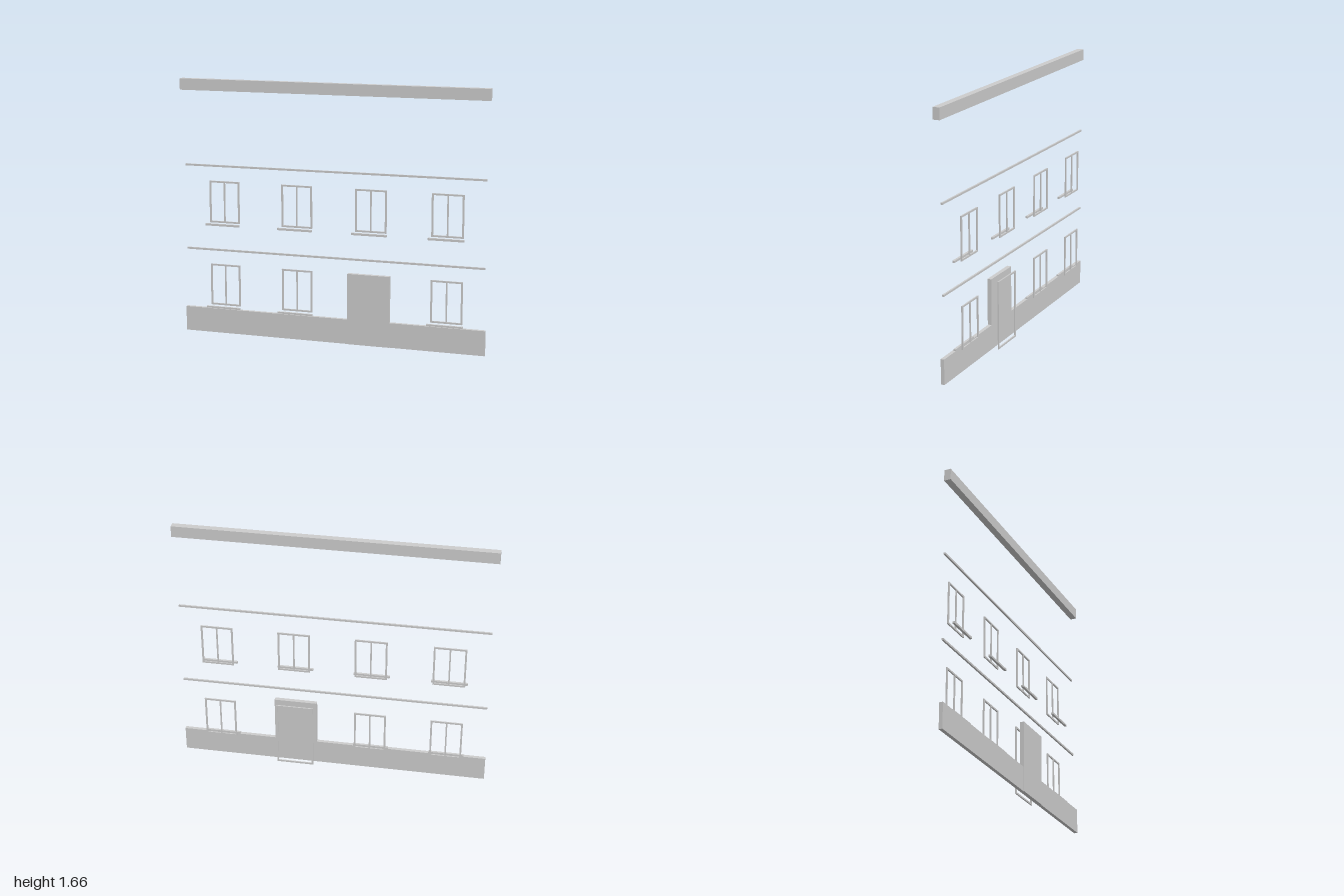
import * as THREE from 'three';

const material = new THREE.MeshStandardMaterial({ color: 0xcccccc, flatShading: true });
const WALL_Z = -0.001; // back plane of all the facade trim
const FRAME_Z = -0.042; // back plane of the recessed frames
const FRAME_DEPTH = 0.008;

// Box given by its limits on each axis
function block(name, x0, x1, y0, y1, z0, z1) {
  const mesh = new THREE.Mesh(new THREE.BoxGeometry(x1 - x0, y1 - y0, z1 - z0), material);
  mesh.position.set((x0 + x1) / 2, (y0 + y1) / 2, (z0 + z1) / 2);
  mesh.name = name;
  return mesh;
}

function rectangle(PathType, x0, x1, y0, y1) {
  return new PathType([
    new THREE.Vector2(x0, y0), new THREE.Vector2(x1, y0),
    new THREE.Vector2(x1, y1), new THREE.Vector2(x0, y1),
  ]);
}

// Rectangular frame with one or more equal openings side by side
function frame(name, width, height, bar, panes, mullion) {
  const shape = rectangle(THREE.Shape, -width / 2, width / 2, 0, height);
  const paneWidth = (width - 2 * bar - (panes - 1) * mullion) / panes;
  for (let i = 0; i < panes; i++) {
    const x = -width / 2 + bar + i * (paneWidth + mullion);
    shape.holes.push(rectangle(THREE.Path, x, x + paneWidth, bar, height - bar));
  }
  const geometry = new THREE.ExtrudeGeometry(shape, { depth: FRAME_DEPTH, bevelEnabled: false });
  const mesh = new THREE.Mesh(geometry, material);
  mesh.name = name;
  return mesh;
}

export function createModel() {
  const facade = new THREE.Group();
  facade.name = 'facade';

  // Long horizontal bands
  facade.add(block('plinth', -0.994, 0.992, 0, 0.16, WALL_Z, 0.022));
  facade.add(block('cornice', -1, 1, 1.585, 1.657, WALL_Z, 0.042));
  for (const y of [0.55, 1.1]) {
    facade.add(block('stringCourse', -0.984, 0.982, y - 0.006, y + 0.006, WALL_Z, 0.01));
  }

  // Entrance: solid surround with a frame set behind it
  facade.add(block('doorSurround', 0.107, 0.382, 0, 0.459, WALL_Z, 0.026));
  const door = frame('doorFrame', 0.241, 0.443, 0.011, 1, 0);
  door.position.set(0.2445, 0, FRAME_Z);
  facade.add(door);

  // Windows with sills; the door takes the third bay of the ground floor
  const bays = [-0.738, -0.247, 0.242, 0.734];
  [0.17, 0.72].forEach((y, floor) => {
    bays.forEach((x, bay) => {
      if (floor === 0 && bay === 2) return;
      const windowFrame = frame('windowFrame', 0.205, 0.274, 0.011, 2, 0.009);
      windowFrame.position.set(x, y, FRAME_Z);
      facade.add(windowFrame);
      facade.add(block('windowSill', x - 0.115, x + 0.115, y - 0.012, y + 0.001, WALL_Z, 0.014));
    });
  });

  return facade;
}
